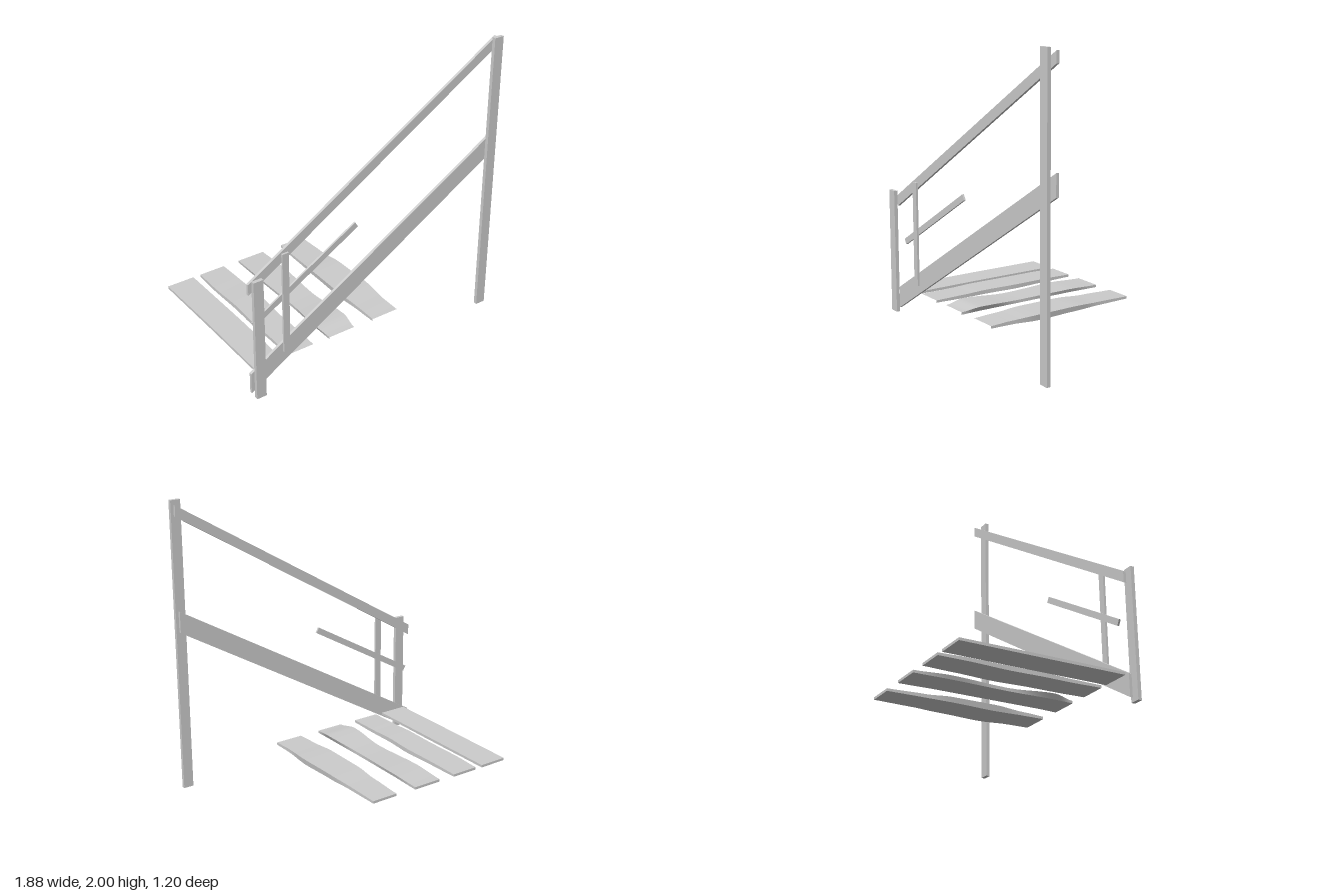
import * as THREE from 'three';

const grey = new THREE.MeshStandardMaterial({ color: 0xcccccc });

function addMesh(group, name, geometry) {
  const mesh = new THREE.Mesh(geometry, grey);
  mesh.name = name;
  group.add(mesh);
  return mesh;
}

// Upright board given by its extents
function upright(group, name, x0, x1, y0, y1, z0, z1) {
  addMesh(group, name, new THREE.BoxGeometry(x1 - x0, y1 - y0, z1 - z0))
    .position.set((x0 + x1) / 2, (y0 + y1) / 2, (z0 + z1) / 2);
}

// Sloping board cut from a side outline
function slopedBoard(group, name, outline, z0, z1) {
  const shape = new THREE.Shape(outline.map(([x, y]) => new THREE.Vector2(x, y)));
  const geometry = new THREE.ExtrudeGeometry(shape, { depth: z1 - z0, bevelEnabled: false });
  addMesh(group, name, geometry.translate(0, 0, z0));
}

// Smoothly blends station rows [z, left, right, bottom, top, bottomInset]
function sections(stations, steps = 5) {
  const rows = [];
  for (let i = 0; i < stations.length - 1; i++) {
    for (let k = 0; k < steps; k++) {
      const t = k / steps, s = t * t * (3 - 2 * t);
      rows.push(stations[i].map((v, j) => v + (stations[i + 1][j] - v) * (j ? s : t)));
    }
  }
  rows.push(stations[stations.length - 1]);
  return rows;
}

// Worn plank: four long faces with sharp edges, closed at the back, open at the front
function treadGeometry(stations) {
  const rings = sections(stations).map(([z, l, r, b, t, inset]) => [
    [l, t, z], [r, t, z], [r - inset, b, z], [l + inset, b, z],
  ]);
  const positions = [], index = [];
  for (let side = 0; side < 4; side++) {
    const base = positions.length / 3;
    rings.forEach((ring) => positions.push(...ring[side], ...ring[(side + 1) % 4]));
    for (let i = 0; i < rings.length - 1; i++) {
      const p0 = base + i * 2, q0 = p0 + 1, p1 = p0 + 2, q1 = p0 + 3;
      index.push(p0, p1, q0, q0, p1, q1);
    }
  }
  const cap = positions.length / 3;
  rings[0].forEach((corner) => positions.push(...corner));
  index.push(cap, cap + 1, cap + 2, cap, cap + 2, cap + 3);
  const geometry = new THREE.BufferGeometry();
  geometry.setAttribute('position', new THREE.Float32BufferAttribute(positions, 3));
  geometry.setIndex(index);
  geometry.computeVertexNormals();
  return geometry;
}

export function createModel() {
  const model = new THREE.Group();
  model.name = 'brokenStaircase';

  // Posts and the remaining baluster
  upright(model, 'lowerPost', -0.94, -0.87, 0, 0.87, 0.575, 0.6);
  upright(model, 'upperPost', 0.87, 0.94, 0, 2, 0.575, 0.6);
  upright(model, 'baluster', -0.7, -0.654, 0.23, 0.957, 0.535, 0.55);

  // Stringer and handrail with plumb-cut ends
  slopedBoard(model, 'stringer',
    [[-0.94, 0.005], [0.94, 1.135], [0.94, 1.28], [-0.94, 0.155]], 0.517, 0.536);
  slopedBoard(model, 'handrail',
    [[-0.94, 0.745], [0.94, 1.905], [0.94, 1.98], [-0.94, 0.822]], 0.517, 0.536);

  // Broken middle rail with square-cut ends
  slopedBoard(model, 'middleRail',
    [[-0.88, 0.475], [-0.105, 0.93], [-0.126, 0.966], [-0.901, 0.511]], 0.495, 0.508);

  // Uneven treads
  const treads = [
    [
      [-0.6, -0.905, -0.705, 0.155, 0.172, 0],
      [0, -0.903, -0.703, 0.155, 0.174, 0],
      [0.52, -0.905, -0.705, 0.155, 0.172, 0],
    ],
    [
      [-0.6, -0.65, -0.458, 0.155, 0.172, 0],
      [-0.4, -0.655, -0.455, 0.153, 0.176, 0],
      [-0.12, -0.648, -0.447, 0.15, 0.179, 0],
      [0.12, -0.655, -0.46, 0.15, 0.178, 0],
      [0.3, -0.648, -0.456, 0.152, 0.175, 0],
      [0.52, -0.65, -0.458, 0.155, 0.172, 0],
    ],
    [
      [-0.6, -0.335, -0.13, 0.155, 0.172, 0],
      [-0.35, -0.342, -0.126, 0.157, 0.181, 0.008],
      [0.05, -0.327, -0.138, 0.155, 0.176, 0],
      [0.38, -0.35, -0.115, 0.157, 0.19, 0.018],
      [0.52, -0.33, -0.132, 0.155, 0.172, 0],
    ],
    [
      [-0.6, 0.025, 0.212, 0.155, 0.172, 0],
      [-0.35, 0.018, 0.216, 0.154, 0.177, 0],
      [-0.15, 0.007, 0.232, 0.152, 0.187, 0.005],
      [0.15, 0.005, 0.237, 0.146, 0.186, 0.006],
      [0.38, 0.018, 0.22, 0.153, 0.177, 0],
      [0.52, 0.02, 0.222, 0.155, 0.172, 0],
    ],
  ];
  treads.forEach((stations, i) => addMesh(model, `tread${i + 1}`, treadGeometry(stations)));

  return model;
}
